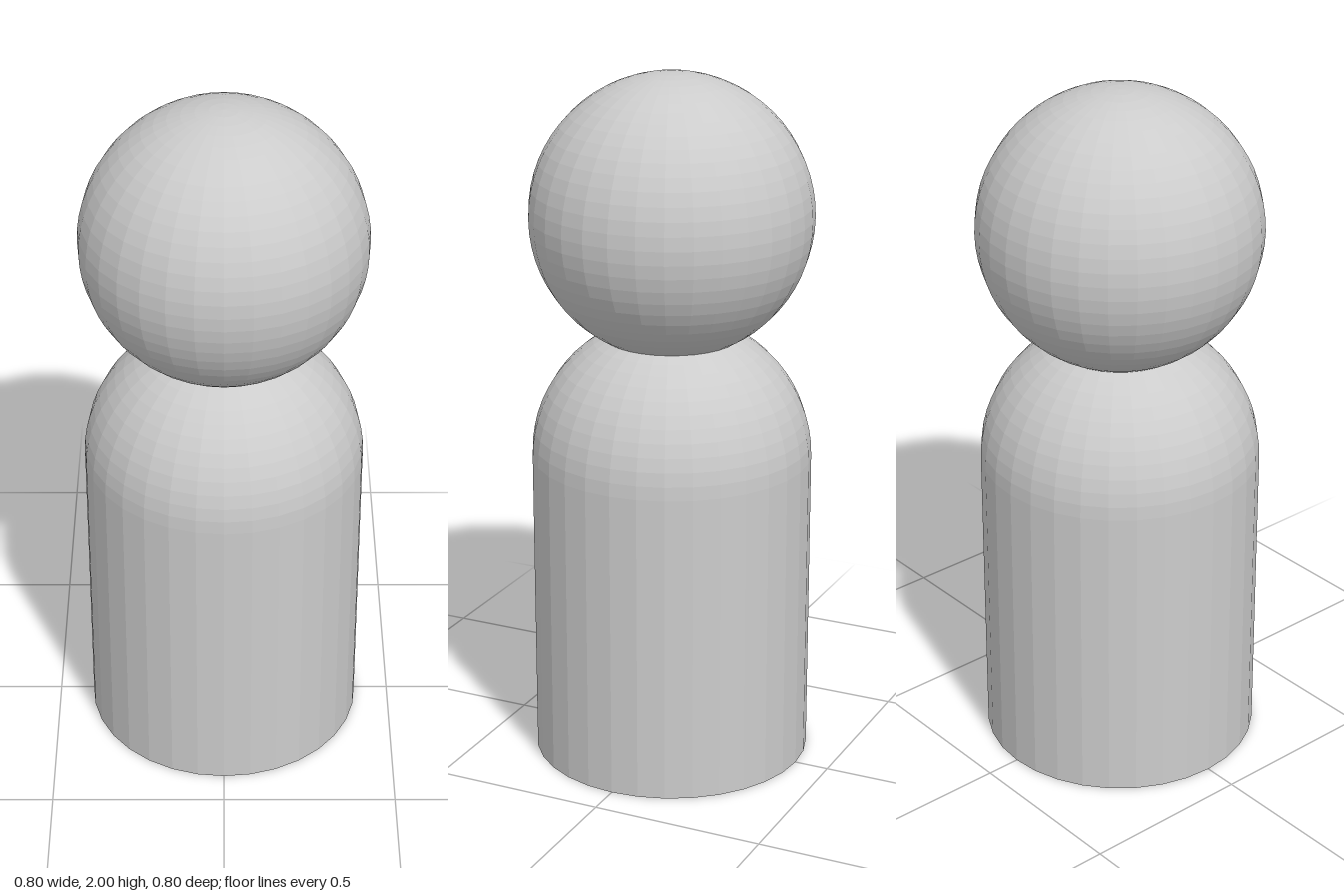
import * as THREE from 'three';

const RADIUS = 0.4;
const SIDES = 32;
const SHOULDER_Y = 0.9;
const HEAD_Y = 1.6;

export function createModel() {
  const group = new THREE.Group();
  group.name = 'pegFigure';
  const material = new THREE.MeshStandardMaterial({ color: 0xcccccc, flatShading: true });

  // Body: flat base, straight side and a domed shoulder
  const profile = [new THREE.Vector2(0, 0), new THREE.Vector2(RADIUS, 0)];
  const domeSteps = SIDES / 2;
  for (let i = 0; i <= domeSteps; i++) {
    const a = (i / domeSteps) * Math.PI / 2;
    const r = i === domeSteps ? 0 : RADIUS * Math.cos(a);
    profile.push(new THREE.Vector2(r, SHOULDER_Y + RADIUS * Math.sin(a)));
  }
  const body = new THREE.Mesh(new THREE.LatheGeometry(profile, SIDES), material);
  body.name = 'body';
  group.add(body);

  // Head: a ball sunk slightly into the dome
  const head = new THREE.Mesh(new THREE.SphereGeometry(RADIUS, SIDES, SIDES), material);
  head.name = 'head';
  head.position.y = HEAD_Y;
  group.add(head);

  return group;
}
